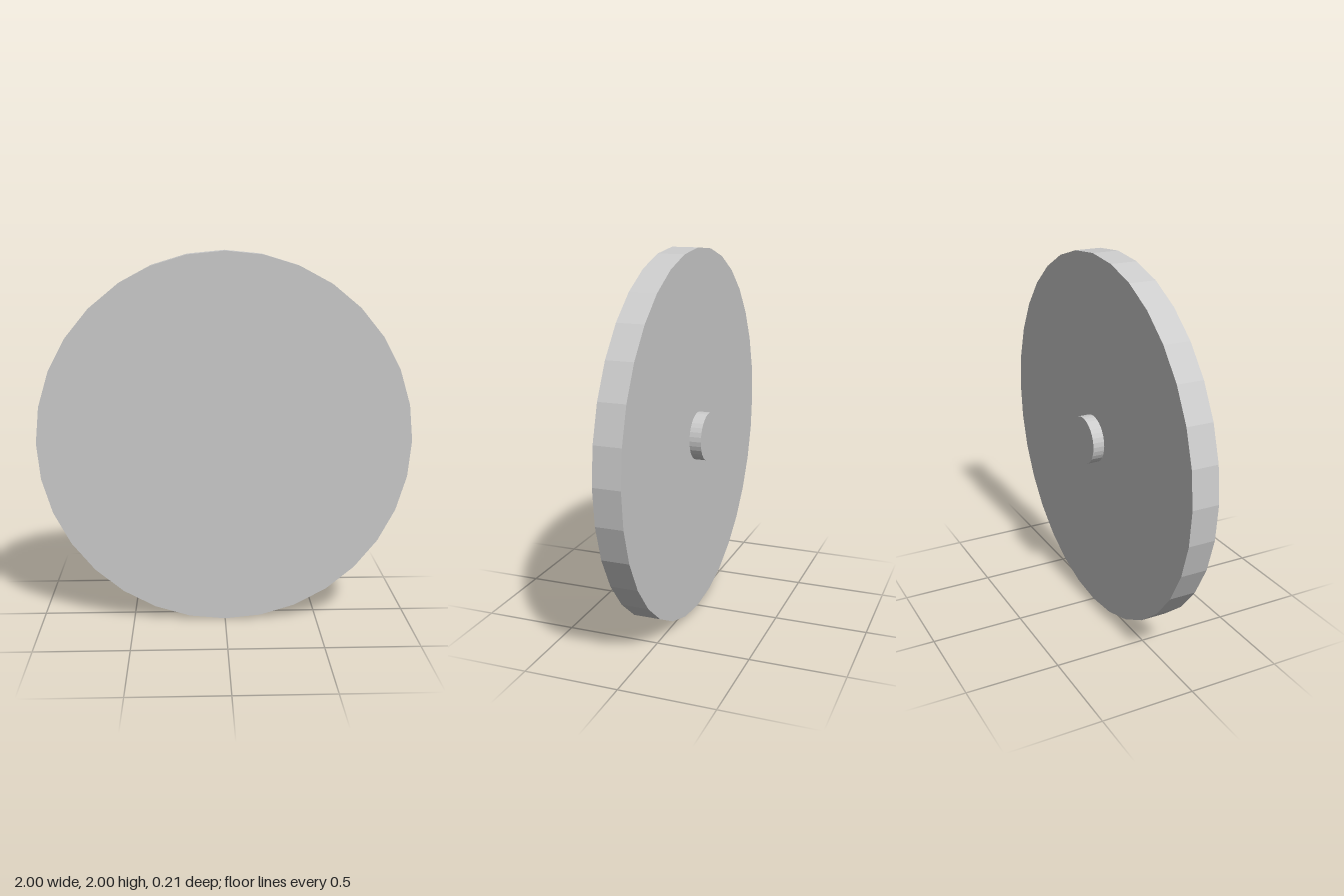
import * as THREE from 'three';

const SIDES = 32;
const BACK = -0.104, SEAM = -0.04, FRONT = 0.104;

export function createModel() {
  const model = new THREE.Group();
  const material = new THREE.MeshStandardMaterial({ color: 0xcccccc, flatShading: true });

  // Faceted cylinder lying along z, centred at y = 1
  const addDisc = (name, radius, z0, z1) => {
    const geometry = new THREE.CylinderGeometry(radius, radius, z1 - z0, SIDES);
    geometry.rotateX(Math.PI / 2);
    const mesh = new THREE.Mesh(geometry, material);
    mesh.name = name;
    mesh.position.set(0, 1, (z0 + z1) / 2);
    model.add(mesh);
  };

  // Large round plate
  addDisc('disc', 1, SEAM, FRONT);
  // Small mounting hub on the back
  addDisc('rearHub', 0.13, BACK, SEAM);

  return model;
}
